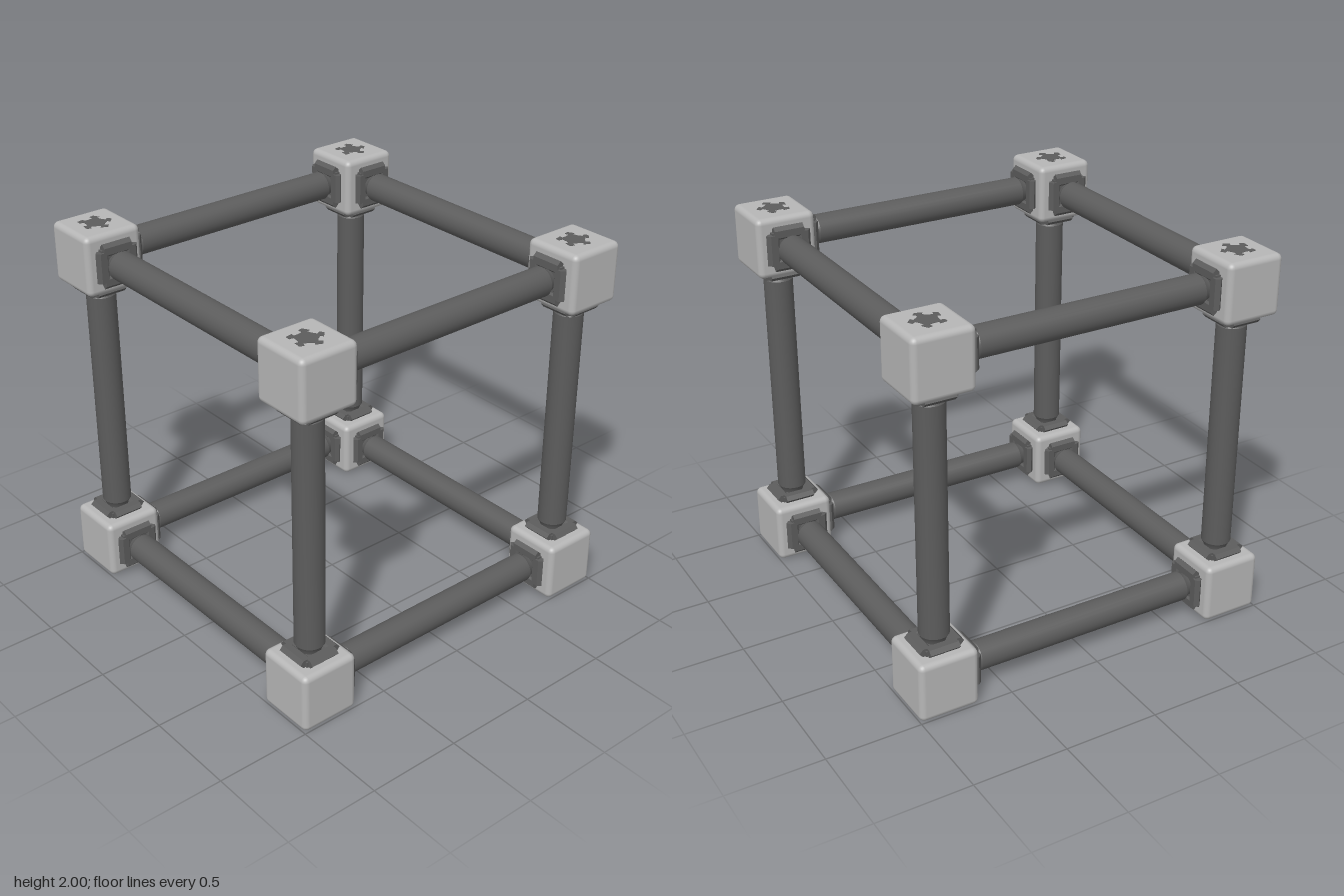
import * as THREE from 'three';
import { RoundedBoxGeometry } from 'three/addons/geometries/RoundedBoxGeometry.js';
import { mergeGeometries, toCreasedNormals } from 'three/addons/utils/BufferGeometryUtils.js';

const SIZE = 0.32, HALF = SIZE / 2, ROUND = 0.03, OFF = 1 - HALF;

// Ragged five-armed star outline
function starPoints() {
  const pts = [];
  const arm = [[0.05, -0.62], [0.06, -0.2], [0.074, -0.36], [0.09, 0.05], [0.078, 0.3], [0.058, 0.16]];
  for (let i = 0; i < 5; i++) {
    for (const [r, a] of arm) {
      const t = 0.15 + i * Math.PI * 0.4 + a;
      pts.push(new THREE.Vector2(r * Math.cos(t), r * Math.sin(t)));
    }
  }
  return pts;
}

// Rounded cube whose flat underside has a star-shaped opening
function openCube() {
  const src = new RoundedBoxGeometry(SIZE, SIZE, SIZE, 3, ROUND).toNonIndexed();
  const p = src.attributes.position, n = src.attributes.normal;
  const pos = [], nor = [];
  for (let i = 0; i < p.count; i += 3) {
    if ([0, 1, 2].every(k => p.getY(i + k) < -HALF + 1e-5)) continue;
    for (let k = 0; k < 3; k++) {
      pos.push(p.getX(i + k), p.getY(i + k), p.getZ(i + k));
      nor.push(n.getX(i + k), n.getY(i + k), n.getZ(i + k));
    }
  }
  const shell = new THREE.BufferGeometry();
  shell.setAttribute('position', new THREE.Float32BufferAttribute(pos, 3));
  shell.setAttribute('normal', new THREE.Float32BufferAttribute(nor, 3));
  const e = HALF - ROUND;
  const face = new THREE.Shape([[-e, -e], [e, -e], [e, e], [-e, e]].map(q => new THREE.Vector2(...q)));
  face.holes.push(new THREE.Path(starPoints()));
  const under = new THREE.ShapeGeometry(face).toNonIndexed();
  under.deleteAttribute('uv');
  under.rotateX(Math.PI / 2).translate(0, -HALF, 0);
  return mergeGeometries([shell, under]);
}

export function createModel() {
  const model = new THREE.Group();
  model.name = 'cubeFrame';
  const lightGrey = new THREE.MeshStandardMaterial({ color: 0xb6b6b6 });
  lightGrey.name = 'lightGrey';
  const darkGrey = new THREE.MeshStandardMaterial({ color: 0x5c5c5c });
  darkGrey.name = 'darkGrey';

  const add = (parent, geo, mat, name) => {
    const m = new THREE.Mesh(geo, mat);
    m.name = name;
    parent.add(m);
    return m;
  };

  // Shared geometry
  const closedGeo = new RoundedBoxGeometry(SIZE, SIZE, SIZE, 3, ROUND);
  const openGeo = openCube();
  const starGeo = new THREE.ExtrudeGeometry(new THREE.Shape(starPoints()), { depth: 0.002, bevelEnabled: false });
  starGeo.rotateX(-Math.PI / 2);
  const profile = [[0, -0.66], [0.058, -0.66], [0.062, -0.64], [0.077, -0.615],
    [0.077, 0.615], [0.062, 0.64], [0.058, 0.66], [0, 0.66]];
  const barGeo = toCreasedNormals(
    new THREE.LatheGeometry(profile.map(q => new THREE.Vector2(...q)), 24), 0.5);
  const plateGeo = new THREE.BoxGeometry(0.18, 0.03, 0.18);
  // Six-sided clamp bar, flattened
  const clampGeo = toCreasedNormals(
    new THREE.CylinderGeometry(0.0375, 0.0375, 0.16, 6).scale(0.62, 1, 1).rotateZ(Math.PI / 2), 0.3);

  // Corner cubes
  for (const x of [-OFF, OFF]) for (const z of [-OFF, OFF]) {
    add(model, openGeo, lightGrey, 'lowerCorner').position.set(x, HALF, z);
    add(model, closedGeo, lightGrey, 'upperCorner').position.set(x, 2 - HALF, z);
    add(model, starGeo, darkGrey, 'topStar').position.set(x, 2, z);
  }

  // One strut along y with a clamped flange at each end
  function strut() {
    const g = new THREE.Group();
    add(g, barGeo, darkGrey, 'bar');
    for (const s of [-1, 1]) {
      const flange = new THREE.Group();
      flange.name = 'flange';
      flange.position.y = s * 0.661;
      add(flange, plateGeo, darkGrey, 'flangePlate').position.y = s * 0.006;
      for (let i = 0; i < 4; i++) {
        const a = i * Math.PI / 2;
        const clamp = add(flange, clampGeo, darkGrey, 'clamp');
        clamp.rotation.y = a;
        clamp.position.set(0.083 * Math.sin(a), 0, 0.083 * Math.cos(a));
      }
      g.add(flange);
    }
    return g;
  }

  // Twelve edges of the frame
  for (const a of [-OFF, OFF]) for (const b of [-OFF, OFF]) {
    const post = strut();
    post.name = 'post';
    post.position.set(a, 1, b);
    const crossBeam = strut();
    crossBeam.name = 'crossBeam';
    crossBeam.rotation.z = Math.PI / 2;
    crossBeam.position.set(0, 1 + a, b);
    const sideBeam = strut();
    sideBeam.name = 'sideBeam';
    sideBeam.rotation.x = Math.PI / 2;
    sideBeam.position.set(a, 1 + b, 0);
    model.add(post, crossBeam, sideBeam);
  }
  return model;
}
